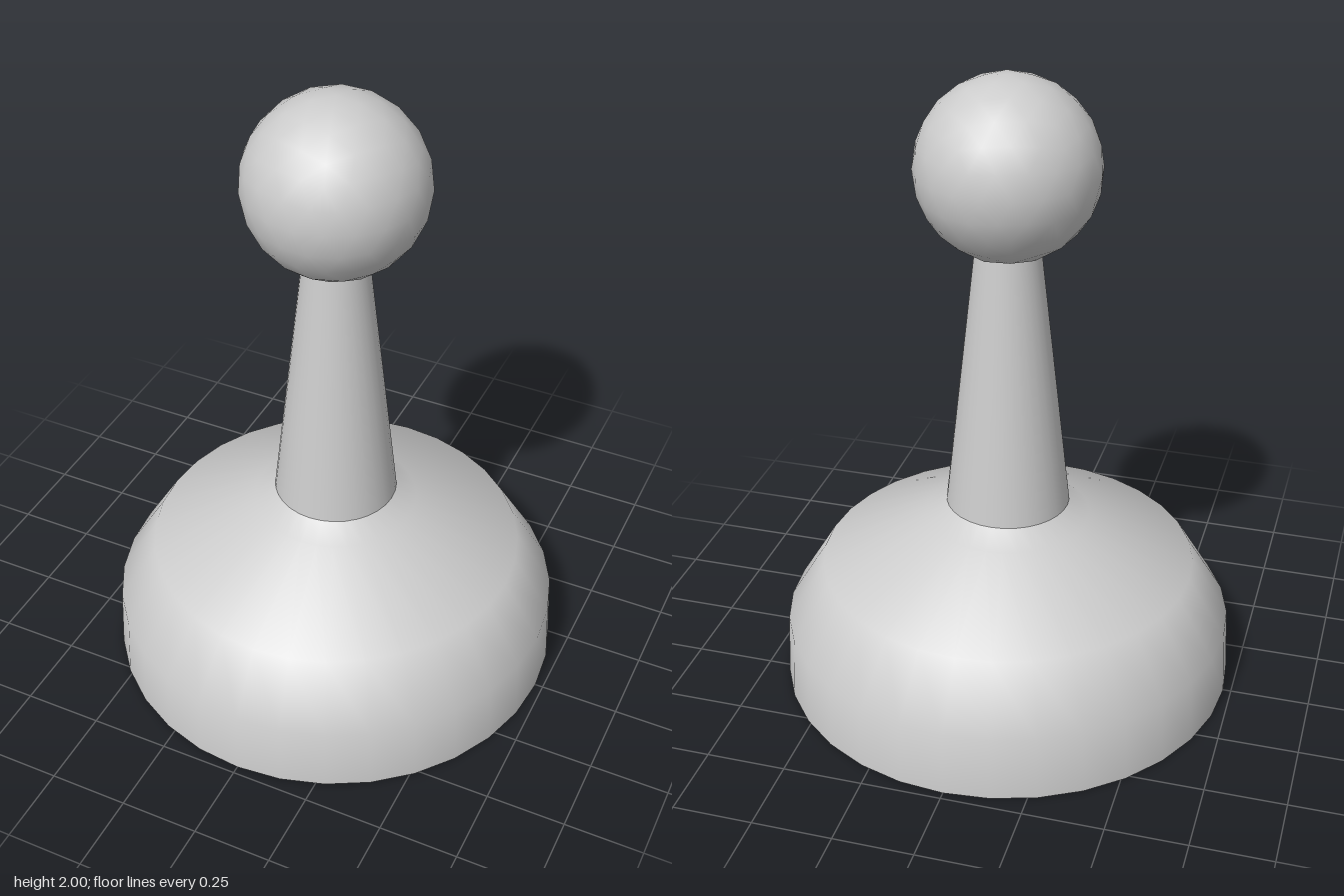
import * as THREE from 'three';

export function createModel() {
  const group = new THREE.Group();
  const grey = new THREE.MeshStandardMaterial({ color: 0xcccccc });
  grey.name = 'light grey';

  const add = (name, geometry, y = 0) => {
    const mesh = new THREE.Mesh(geometry, grey);
    mesh.name = name;
    mesh.position.y = y;
    group.add(mesh);
    return mesh;
  };
  const lathe = (points) =>
    new THREE.LatheGeometry(points.map(([r, y]) => new THREE.Vector2(r, y)), 32);

  // Rounded base flowing up into the foot of the stem
  add('base', lathe([[0.725, 0], [0.715, 0.21], [0.595, 0.405], [0.26, 0.565], [0.19, 0.615]]));

  // Flat underside
  add('underside', new THREE.CircleGeometry(0.725, 32).rotateX(Math.PI / 2));

  // Tapered stem, ending just inside the knob
  add('stem', lathe([[0.195, 0.615], [0.1, 1.47]]));

  // Round knob, with one vertex turned to the very top
  const knob = new THREE.IcosahedronGeometry(0.28, 3);
  knob.rotateZ(-Math.atan(2 / (1 + Math.sqrt(5))));
  add('knob', knob, 1.72);

  return group;
}
